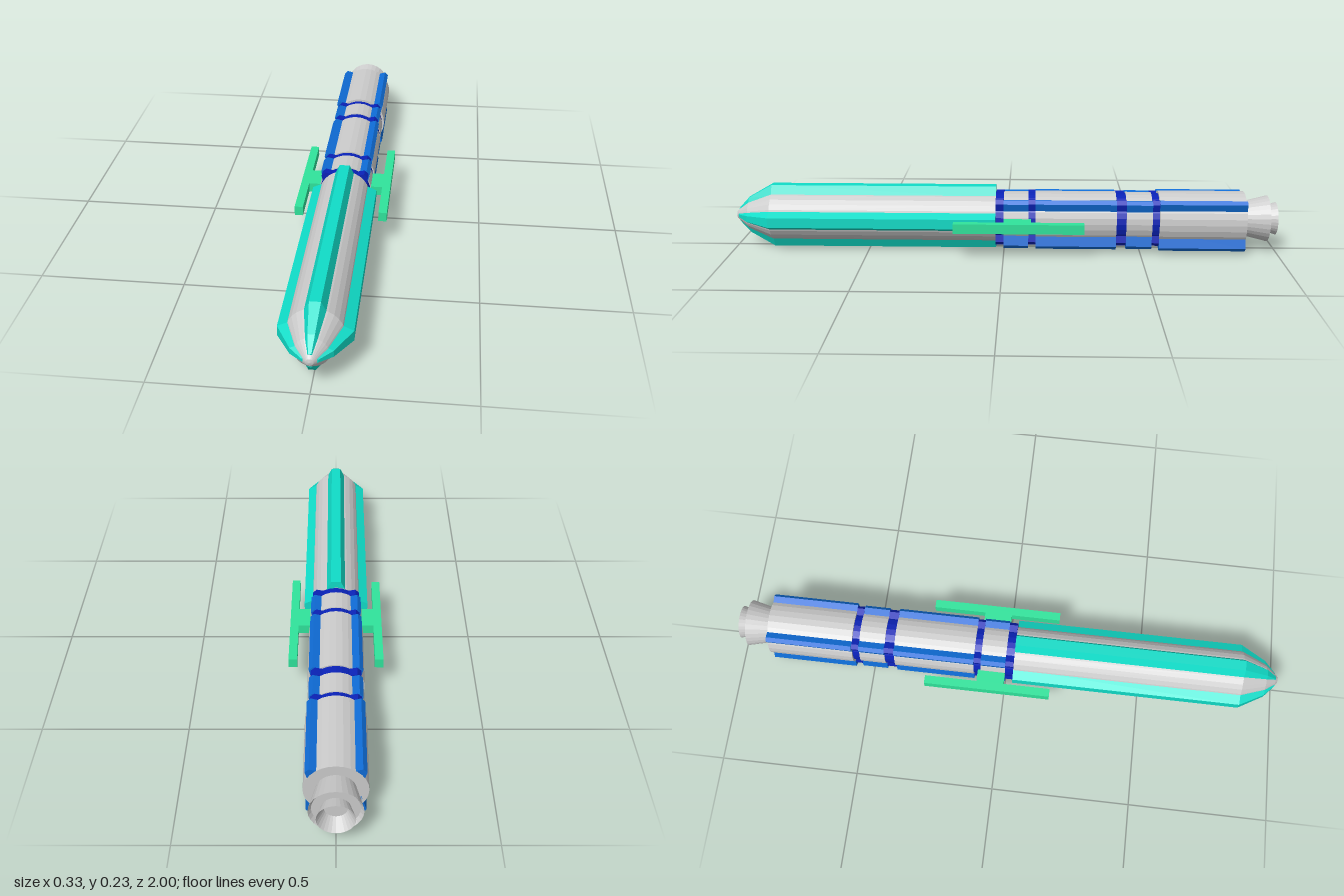
import * as THREE from 'three';

const AXIS_Y = 0.116;
const mat = (color) => new THREE.MeshStandardMaterial({ color, flatShading: true, side: THREE.DoubleSide });

function addMesh(parent, name, geometry, material) {
  const mesh = new THREE.Mesh(geometry, material);
  mesh.name = name;
  parent.add(mesh);
  return mesh;
}

// Surface of revolution about the z axis; points are [radius, z] from back to front
function turned(points, sides = 28) {
  return new THREE.LatheGeometry(points.map(([r, z]) => new THREE.Vector2(r, z)), sides).rotateX(Math.PI / 2);
}

const drum = (r, z0, z1) => turned([[0, z0], [r, z0], [r, z1], [0, z1]]);

// Trapezoid rib along z; each section is [z, baseRadius, baseHalfWidth, tipRadius, tipHalfWidth]
function rib(sections) {
  const pos = [];
  const index = [];
  for (const [z, rb, wb, rt, wt] of sections) pos.push(-wb, rb, z, wb, rb, z, wt, rt, z, -wt, rt, z);
  const last = (sections.length - 1) * 4;
  for (let s = 0; s < last; s += 4) {
    for (let i = 0; i < 4; i++) {
      const a = s + i, b = s + ((i + 1) % 4);
      index.push(a, b, b + 4, a, b + 4, a + 4);
    }
  }
  index.push(0, 2, 1, 0, 3, 2, last, last + 1, last + 2, last, last + 2, last + 3);
  const g = new THREE.BufferGeometry();
  g.setAttribute('position', new THREE.Float32BufferAttribute(pos, 3));
  g.setIndex(index);
  const flat = g.toNonIndexed();
  flat.computeVertexNormals();
  return flat;
}

// Four copies of a rib around the axis
function fourRibs(parent, name, geometry, material, startAngle) {
  for (let i = 0; i < 4; i++) {
    addMesh(parent, name, geometry, material).rotation.z = startAngle + (i * Math.PI) / 2;
  }
}

export function createModel() {
  const model = new THREE.Group();
  const grey = mat(0xcccccc);
  const teal = mat(0x10dcc8);
  const blue = mat(0x0f6cd6);
  const darkBlue = mat(0x0a22b8);
  const green = mat(0x30e49c);

  // Front hull with pointed nose
  const front = new THREE.Group();
  front.name = 'frontHull';
  front.position.y = AXIS_Y + 0.001;
  model.add(front);
  addMesh(front, 'frontBody', turned([
    [0, 0.03], [0.092, 0.03], [0.092, 0.86], [0.053, 0.95], [0.022, 0.988], [0.012, 0.997], [0, 1],
  ]), grey);
  fourRibs(front, 'frontRib', rib([
    [0.03, 0.08, 0.036, 0.117, 0.018],
    [0.86, 0.08, 0.036, 0.117, 0.018],
    [0.95, 0.044, 0.021, 0.066, 0.011],
    [0.988, 0.015, 0.009, 0.025, 0.005],
  ]), teal, 0);

  // Rear hull: ribbed sections separated by recessed collars
  const rear = new THREE.Group();
  rear.name = 'rearHull';
  rear.position.y = AXIS_Y - 0.002;
  model.add(rear);
  addMesh(rear, 'rearCore', drum(0.088, -0.875, 0.02), grey);
  const sections = [[-0.09, 0, 0.096], [-0.41, -0.116, 0.098], [-0.54, -0.446, 0.096], [-0.88, -0.566, 0.102]];
  for (const [z0, z1, r] of sections) {
    addMesh(rear, 'rearSection', drum(r, z0, z1), grey);
    const tip = r + 0.023;
    const ribs = new THREE.Group();
    ribs.name = 'rearRibs';
    ribs.position.y = -0.006;
    rear.add(ribs);
    fourRibs(ribs, 'rearRib', rib([[z0, 0.07, 0.04, tip, 0.009], [z1, 0.07, 0.04, tip, 0.009]]), blue, Math.PI / 4);
  }
  for (const [z0, z1] of [[0, 0.03], [-0.116, -0.09], [-0.446, -0.41], [-0.566, -0.54]]) {
    addMesh(rear, 'collar', drum(0.093, z0, z1), darkBlue);
    fourRibs(rear, 'collarRib', rib([[z0, 0.07, 0.037, 0.111, 0.01], [z1, 0.07, 0.037, 0.111, 0.01]]), darkBlue, Math.PI / 4);
  }

  // Flared engine skirt with a smaller open bell
  const engine = new THREE.Group();
  engine.name = 'engine';
  engine.position.y = AXIS_Y;
  model.add(engine);
  addMesh(engine, 'engineSkirt', turned([
    [0, -0.955], [0.075, -0.955], [0.085, -0.968], [0.062, -0.875], [0, -0.875],
  ]), grey);
  addMesh(engine, 'engineBell', turned([
    [0, -0.945], [0.036, -0.955], [0.06, -1], [0.044, -0.95],
  ]), grey);

  // Side arms carrying long rails
  for (const [side, frontEnd] of [[1, 0.18], [-1, 0.17]]) {
    const arm = new THREE.Group();
    arm.name = side > 0 ? 'leftArm' : 'rightArm';
    arm.position.y = AXIS_Y - 0.001;
    model.add(arm);
    addMesh(arm, 'armBracket', new THREE.BoxGeometry(0.06, 0.035, 0.1), green).position.set(side * 0.108, 0, -0.05);
    addMesh(arm, 'armRail', new THREE.BoxGeometry(0.03, 0.035, frontEnd + 0.29), green)
      .position.set(side * 0.151, 0, (frontEnd - 0.29) / 2);
  }
  return model;
}
